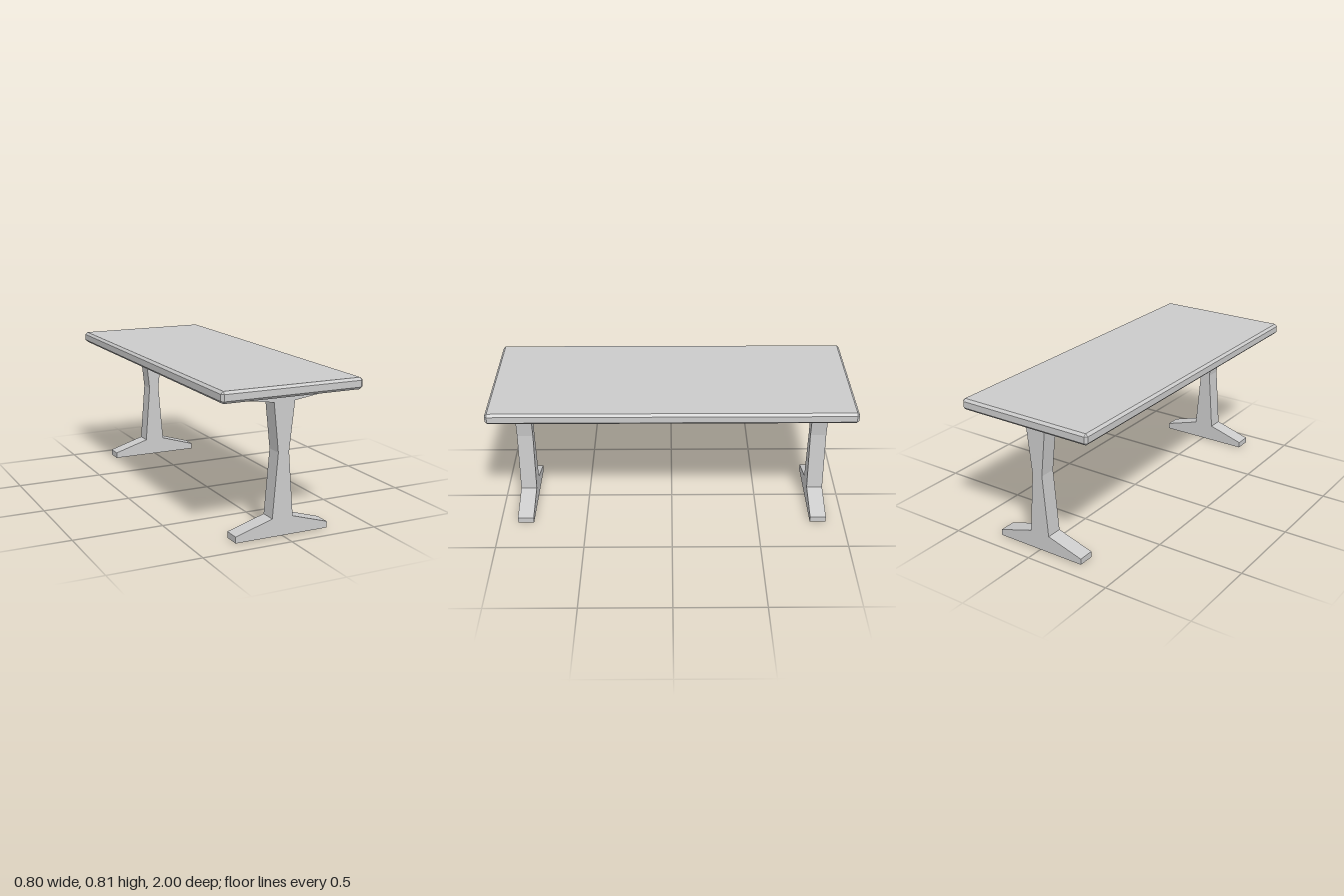
import * as THREE from 'three';
import { ConvexGeometry } from 'three/addons/geometries/ConvexGeometry.js';

const material = new THREE.MeshStandardMaterial({ color: 0xcccccc, flatShading: true });
const openMaterial = new THREE.MeshStandardMaterial({ color: 0xcccccc, flatShading: true, side: THREE.DoubleSide });

// Box with every edge and corner cut by one flat chamfer
function chamferedBox(w, h, d, c) {
  const points = [];
  for (const sx of [-1, 1]) for (const sy of [-1, 1]) for (const sz of [-1, 1]) {
    const x = w / 2, y = h / 2, z = d / 2;
    points.push(
      new THREE.Vector3(sx * x, sy * (y - c), sz * (z - c)),
      new THREE.Vector3(sx * (x - c), sy * y, sz * (z - c)),
      new THREE.Vector3(sx * (x - c), sy * (y - c), sz * z)
    );
  }
  return new ConvexGeometry(points);
}

// Hollow trestle: extruded outline without its floor and ceiling faces
function trestleGeometry(depth) {
  const half = [[0.27, 0.002], [0.27, 0.034], [0.06, 0.098], [0.031, 0.447],
    [0.06, 0.71], [0.256, 0.738], [0.256, 0.754]];
  const outline = [...half, ...half.map(([x, y]) => [-x, y]).reverse()];
  outline.forEach((p) => { if (p[1] < 0.01) p[1] = 0; });
  const shape = new THREE.Shape(outline.map(([x, y]) => new THREE.Vector2(x, y)));
  const solid = new THREE.ExtrudeGeometry(shape, { depth, bevelEnabled: false });
  const pos = solid.attributes.position, normal = solid.attributes.normal;
  const kept = [];
  for (let i = 0; i < pos.count; i += 3) {
    if (Math.abs(normal.getY(i)) > 0.999) continue;
    for (let k = i; k < i + 3; k++) kept.push(pos.getX(k), pos.getY(k), pos.getZ(k) - depth / 2);
  }
  const geometry = new THREE.BufferGeometry();
  geometry.setAttribute('position', new THREE.Float32BufferAttribute(kept, 3));
  geometry.computeVertexNormals();
  return geometry;
}

export function createModel() {
  const table = new THREE.Group();
  table.name = 'table';

  // Tabletop
  const top = new THREE.Mesh(chamferedBox(0.8, 0.062, 2, 0.0135), material);
  top.name = 'tabletop';
  top.position.y = 0.784;
  table.add(top);

  // Pair of trestle legs
  const legGeometry = trestleGeometry(0.092);
  for (const [name, z] of [['frontLeg', 0.853], ['backLeg', -0.853]]) {
    const leg = new THREE.Mesh(legGeometry, openMaterial);
    leg.name = name;
    leg.position.z = z;
    table.add(leg);
  }
  return table;
}
